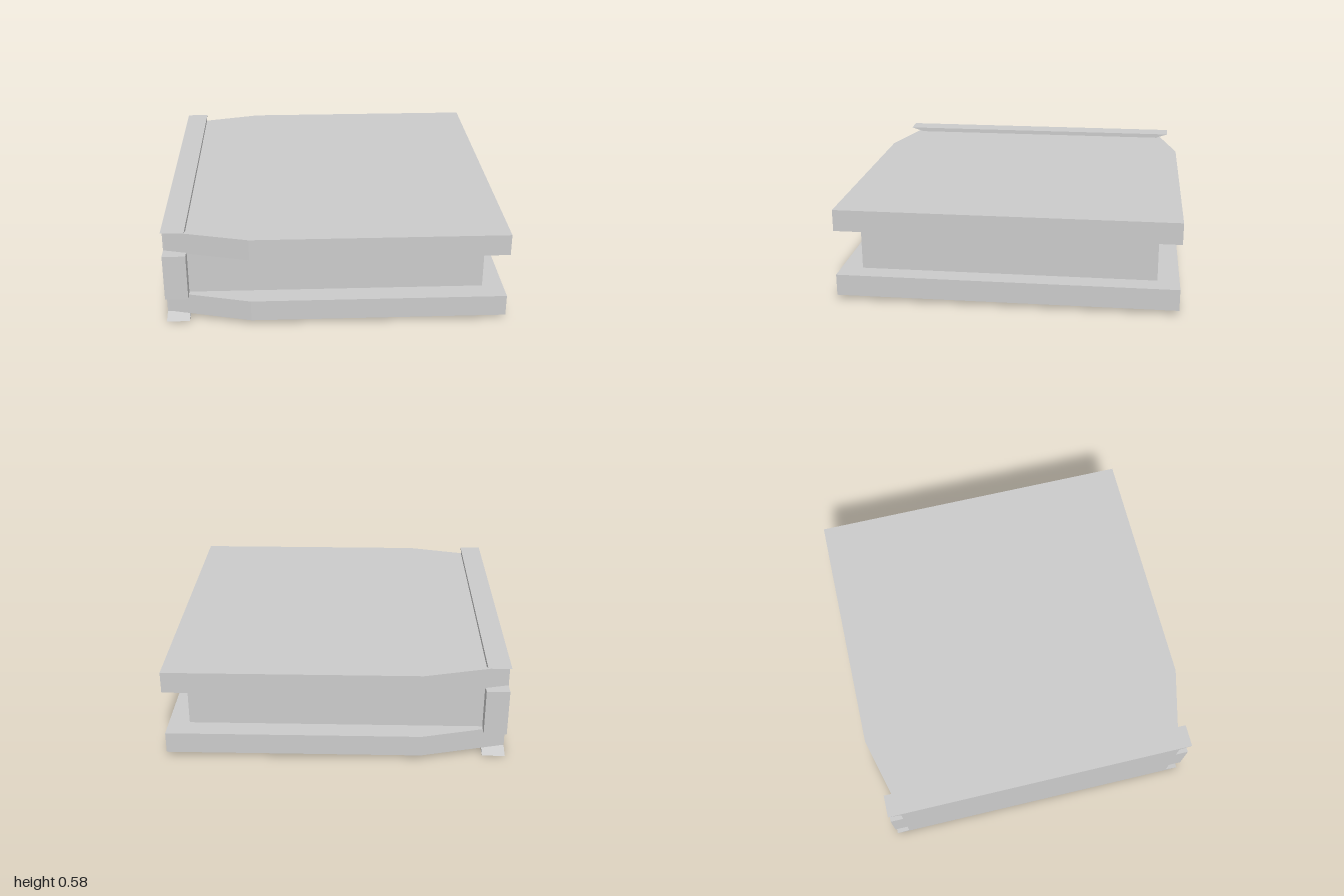
import * as THREE from 'three';

const material = new THREE.MeshStandardMaterial({ color: 0xcccccc, flatShading: true });

// Mirrors a half outline to a closed shape, then extrudes it.
function extrude(points, depth) {
  const shape = new THREE.Shape(points.map(([a, b]) => new THREE.Vector2(a, b)));
  return new THREE.ExtrudeGeometry(shape, { depth, bevelEnabled: false });
}

function add(group, name, geometry) {
  const mesh = new THREE.Mesh(geometry, material);
  mesh.name = name;
  group.add(mesh);
  return mesh;
}

export function createModel() {
  const group = new THREE.Group();
  group.name = 'slabBlock';

  // Two wide cover slabs, tapering toward the end plate
  const outline = [[-0.99, -0.872], [-0.5, -1], [0.997, -1], [0.997, 1], [-0.5, 1], [-0.99, 0.872]];
  for (const [name, y] of [['lowerSlab', 0.027], ['upperSlab', 0.428]]) {
    const slab = extrude(outline, 0.128);
    slab.rotateX(-Math.PI / 2);
    slab.translate(0, y, 0);
    add(group, name, slab);
  }

  // Recessed core between the slabs
  const core = new THREE.BoxGeometry(1.83, 0.273, 1.745);
  core.translate(-0.042, 0.2915, 0);
  add(group, 'core', core);

  // End plate with flared lips above and below and a square tab on each side
  const half = [[0.95, 0], [0.872, 0.025], [0.872, 0.15], [0.95, 0.15],
    [0.95, 0.433], [0.872, 0.433], [0.872, 0.558], [0.95, 0.583]];
  const profile = [...half, ...half.map(([z, y]) => [-z, y]).reverse()];
  const plate = extrude(profile, 0.135);
  plate.rotateY(Math.PI / 2);
  plate.translate(-1, 0, 0);
  add(group, 'endPlate', plate);

  return group;
}
